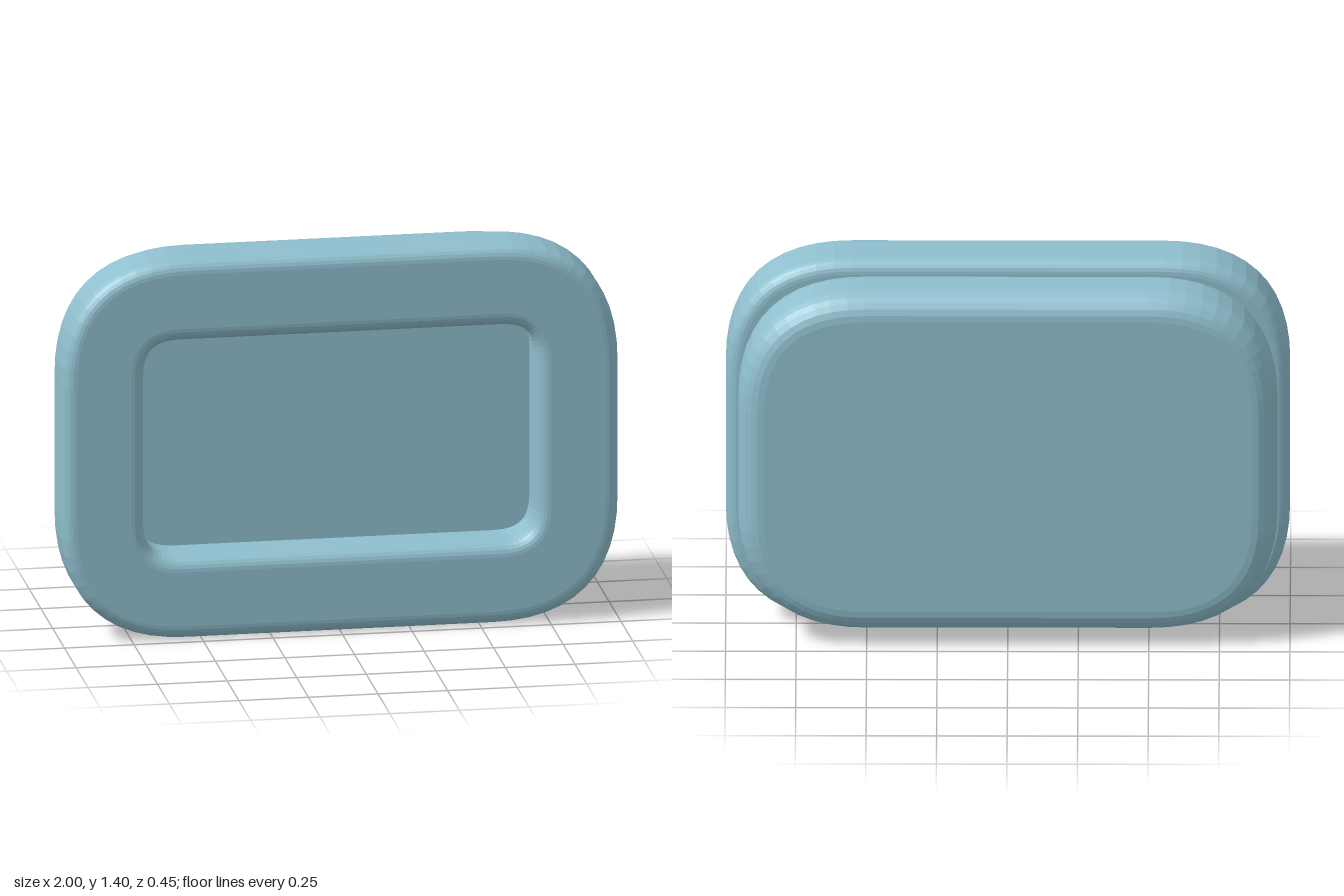
import * as THREE from 'three';

// Rectangle with soft quadratic corners, centred on the origin
function softRect(Target, halfW, halfH, r) {
  const p = new Target();
  p.moveTo(-halfW + r, -halfH);
  p.lineTo(halfW - r, -halfH);
  p.quadraticCurveTo(halfW, -halfH, halfW, -halfH + r);
  p.lineTo(halfW, halfH - r);
  p.quadraticCurveTo(halfW, halfH, halfW - r, halfH);
  p.lineTo(-halfW + r, halfH);
  p.quadraticCurveTo(-halfW, halfH, -halfW, halfH - r);
  p.lineTo(-halfW, -halfH + r);
  p.quadraticCurveTo(-halfW, -halfH, -halfW + r, -halfH);
  return p;
}

// Bevelled slab filling zBack..zFront, bevel included
function slab(name, shape, zBack, zFront, bevel, material) {
  const geometry = new THREE.ExtrudeGeometry(shape, {
    depth: zFront - zBack - 2 * bevel,
    bevelEnabled: true,
    bevelThickness: bevel,
    bevelSize: bevel,
    bevelSegments: 6,
    curveSegments: 12,
  });
  geometry.translate(0, 0.7, zBack + bevel);
  const mesh = new THREE.Mesh(geometry, material);
  mesh.name = name;
  return mesh;
}

export function createModel() {
  const group = new THREE.Group();
  group.name = 'framedPanel';
  const material = new THREE.MeshStandardMaterial({ color: 0x8fbfce });

  // Front frame with a rounded rectangular opening
  const frameShape = softRect(THREE.Shape, 0.95, 0.65, 0.4);
  frameShape.holes.push(softRect(THREE.Path, 0.755, 0.45, 0.18));
  group.add(slab('frontFrame', frameShape, -0.01, 0.225, 0.05, material));

  // Back body, its front face forms the floor of the opening
  const bodyShape = softRect(THREE.Shape, 0.865, 0.56, 0.36);
  group.add(slab('backBody', bodyShape, -0.225, 0.05, 0.09, material));

  return group;
}
